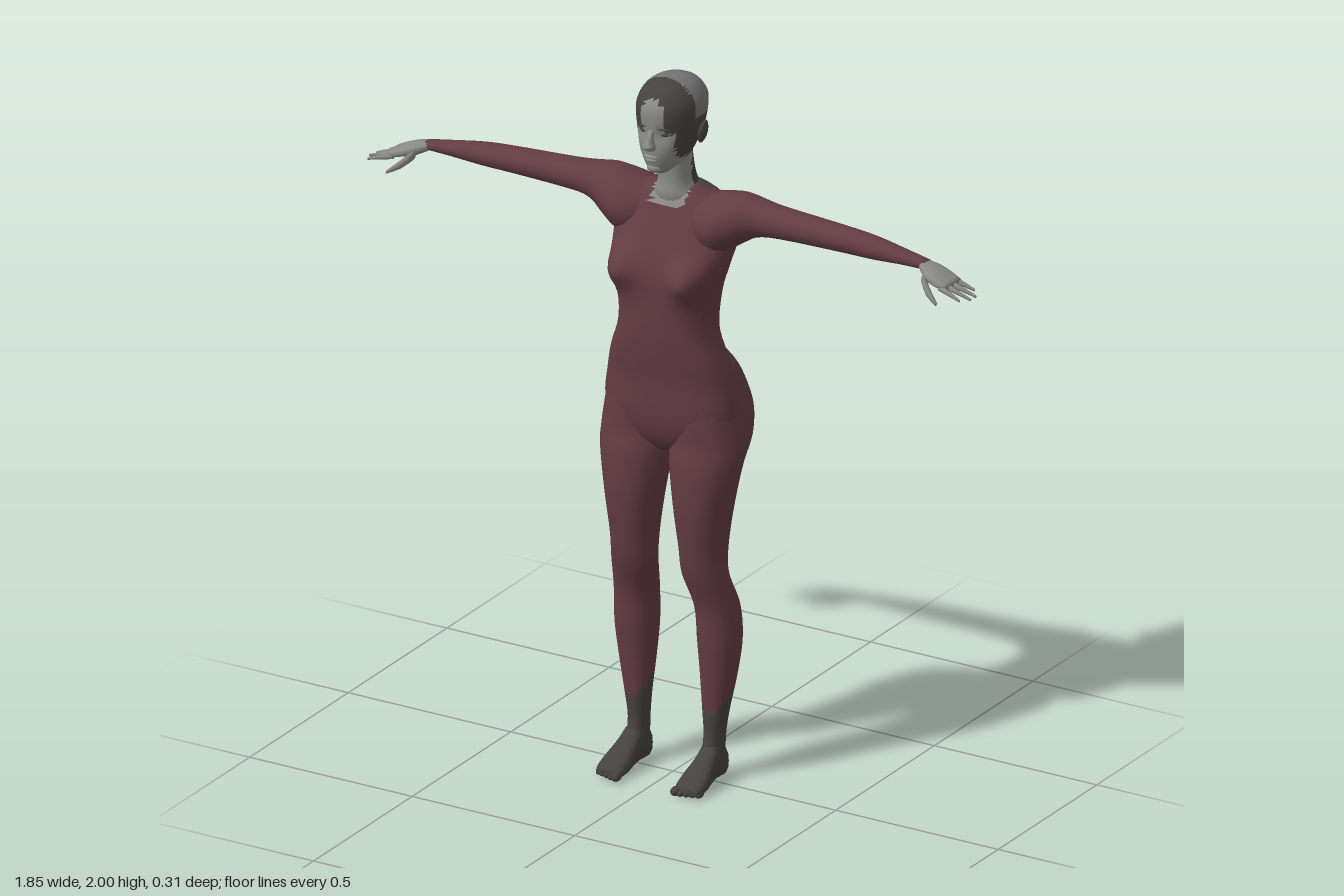
import * as THREE from 'three';

const flat = (name, color) => {
  const m = new THREE.MeshStandardMaterial({ color });
  m.name = name;
  return m;
};
const suit = flat('burgundy suit', 0x633c43);
const dark = flat('charcoal', 0x474242);
const skin = flat('pale grey', 0x8a8a88);
const crown = flat('crown grey', 0x747474);

// Smooth Catmull-Rom resampling of a table of section rows
function resample(rows, sub) {
  const out = [];
  for (let i = 0; i < rows.length - 1; i++) {
    const p = rows[Math.max(i - 1, 0)], a = rows[i], b = rows[i + 1], q = rows[Math.min(i + 2, rows.length - 1)];
    for (let k = 0; k < sub; k++) {
      const t = k / sub;
      out.push(a.map((v, j) => {
        const c1 = b[j] - p[j];
        const c2 = 2 * p[j] - 5 * v + 4 * b[j] - q[j];
        const c3 = 3 * (v - b[j]) + q[j] - p[j];
        return v + 0.5 * t * (c1 + t * (c2 + t * c3));
      }));
    }
  }
  out.push(rows[rows.length - 1]);
  return out;
}

// Closed loft of oval sections. Row: [t, a0, a1, b0, b1]; place maps (t, a, b) to a point.
// paint(centre) picks the index of the material for each face.
function loft(name, rows, place, mats, { sides = 16, sub = 3, power = 2.3, warp, paint = () => 0 } = {}) {
  const pos = [], tris = [], sections = resample(rows, sub), n = sections.length;
  const add = (t, a, b) => {
    const v = place(t, a, b);
    if (warp) warp(v);
    pos.push(v.x, v.y, v.z);
  };
  const bend = (v) => Math.sign(v) * Math.abs(v) ** (2 / power);
  for (const [t, a0, a1, b0, b1] of sections) {
    for (let i = 0; i < sides; i++) {
      const w = (i / sides) * Math.PI * 2;
      add(t, (a0 + a1) / 2 + bend(Math.cos(w)) * (a1 - a0) / 2, (b0 + b1) / 2 + bend(Math.sin(w)) * (b1 - b0) / 2);
    }
  }
  for (const s of [sections[0], sections[n - 1]]) add(s[0], (s[1] + s[2]) / 2, (s[3] + s[4]) / 2);
  for (let i = 0; i < sides; i++) {
    const j = (i + 1) % sides;
    for (let r = 0; r < n - 1; r++) {
      const a = r * sides + i, b = r * sides + j;
      tris.push([a, b, a + sides], [b, b + sides, a + sides]);
    }
    tris.push([n * sides, j, i], [n * sides + 1, (n - 1) * sides + i, (n - 1) * sides + j]);
  }
  // Turn faces outward whichever way the sections run
  const pt = (i) => new THREE.Vector3().fromArray(pos, i * 3);
  let volume = 0;
  for (const [a, b, c] of tris) volume += pt(a).dot(pt(b).cross(pt(c)));
  const buckets = mats.map(() => []);
  for (const [a, b, c] of tris) {
    const centre = pt(a).add(pt(b)).add(pt(c)).divideScalar(3);
    buckets[paint(centre)].push(...(volume > 0 ? [a, b, c] : [a, c, b]));
  }
  const g = new THREE.BufferGeometry();
  g.setAttribute('position', new THREE.Float32BufferAttribute(pos, 3));
  g.setIndex(buckets.flat());
  let start = 0;
  buckets.forEach((f, i) => { g.addGroup(start, f.length, i); start += f.length; });
  g.computeVertexNormals();
  const mesh = new THREE.Mesh(g, mats);
  mesh.name = name;
  return mesh;
}

function ball(name, mat, x, y, z, sx, sy, sz) {
  const m = new THREE.Mesh(new THREE.SphereGeometry(1, 10, 8), mat);
  m.name = name;
  m.position.set(x, y, z);
  m.scale.set(sx, sy, sz);
  return m;
}

const upright = (y, x, z) => new THREE.Vector3(x, y, z);
const gauss = (d, s) => Math.exp(-(d * d) / (2 * s * s));

function buildTorso() {
  return loft('torso', [
    [0.94, -0.07, 0.07, -0.05, 0.05], [0.98, -0.15, 0.15, -0.09, 0.08], [1.05, -0.195, 0.195, -0.11, 0.098],
    [1.15, -0.185, 0.185, -0.1, 0.1], [1.22, -0.165, 0.165, -0.077, 0.11], [1.3, -0.138, 0.138, -0.075, 0.118],
    [1.4, -0.143, 0.143, -0.085, 0.115], [1.47, -0.158, 0.158, -0.103, 0.108], [1.55, -0.175, 0.175, -0.125, 0.083],
    [1.61, -0.165, 0.165, -0.13, 0.055], [1.66, -0.11, 0.11, -0.105, 0.03], [1.685, -0.05, 0.05, -0.08, 0.01],
  ], upright, [suit, dark, skin], {
    sides: 32, sub: 4, power: 2.4,
    // bust
    warp: (v) => { if (v.z > 0) v.z += 0.055 * gauss(Math.abs(v.x) - 0.11, 0.035) * gauss(v.y - 1.46, 0.04); },
    // collar patches at nape and throat
    paint: (c) => (c.z < -0.04 && c.y > 1.58 && Math.abs(c.x) < 0.085 ? 1
      : c.z > 0 && c.y > 1.635 && Math.abs(c.x) < 0.05 ? 2 : 0),
  });
}

function buildHead() {
  const head = new THREE.Group();
  head.name = 'head';
  head.add(loft('skull', [
    [1.75, -0.025, 0.025, 0.02, 0.095], [1.775, -0.048, 0.048, -0.045, 0.108], [1.81, -0.066, 0.066, -0.072, 0.115],
    [1.85, -0.079, 0.079, -0.09, 0.114], [1.9, -0.087, 0.087, -0.103, 0.115], [1.94, -0.085, 0.085, -0.105, 0.112],
    [1.975, -0.066, 0.066, -0.08, 0.09], [1.993, -0.04, 0.04, -0.045, 0.058], [2.0, -0.015, 0.015, -0.02, 0.03],
  ], upright, [dark, skin, crown], {
    sides: 32, sub: 4, power: 2.1,
    // eye sockets
    warp: (v) => { if (v.z > 0.03) v.z -= 0.01 * gauss(Math.abs(v.x) - 0.033, 0.015) * gauss(v.y - 1.868, 0.014); },
    // face, forehead and crown patches
    paint: (c) => {
      const x = Math.abs(c.x);
      if (c.z > 0.02 && c.y < 1.87 && x < 0.056) return 1;
      if (c.z > 0.05 && (x / 0.038) ** 2 + ((c.y - 1.9) / 0.065) ** 2 < 1) return 1;
      return c.y > 1.9 && c.z < 0.03 ? 2 : 0;
    },
  }));
  head.add(loft('neck', [
    [1.6, -0.07, 0.07, -0.115, 0.02], [1.66, -0.062, 0.062, -0.095, 0.038], [1.7, -0.046, 0.046, -0.078, 0.034],
    [1.76, -0.044, 0.044, -0.06, 0.036], [1.81, -0.045, 0.045, -0.055, 0.05],
  ], upright, [skin, dark], { sides: 20, paint: (c) => (c.z < -0.025 ? 1 : 0) }));
  head.add(loft('nose', [
    [1.822, -0.01, 0.01, 0.1, 0.122], [1.834, -0.017, 0.017, 0.1, 0.144], [1.85, -0.01, 0.01, 0.1, 0.133],
    [1.88, -0.007, 0.007, 0.1, 0.118],
  ], upright, [skin], { sides: 10, sub: 2 }));
  head.add(ball('upperLip', skin, 0, 1.804, 0.113, 0.022, 0.005, 0.011));
  head.add(ball('lowerLip', skin, 0, 1.794, 0.111, 0.018, 0.006, 0.011));
  head.add(ball('chin', skin, 0, 1.767, 0.096, 0.022, 0.014, 0.015));
  for (const s of [-1, 1]) {
    const eye = ball('eye', dark, s * 0.033, 1.867, 0.096, 0.014, 0.005, 0.006);
    eye.rotation.y = s * 0.35;
    const brow = ball('brow', dark, s * 0.034, 1.884, 0.103, 0.018, 0.003, 0.005);
    brow.rotation.y = s * 0.35;
    const ear = ball('ear', dark, s * 0.087, 1.852, -0.008, 0.01, 0.034, 0.02);
    ear.rotation.z = -s * 0.2;
    head.add(eye, brow, ear);
  }
  return head;
}

function buildArm(s) {
  const arm = new THREE.Group();
  arm.name = s > 0 ? 'leftArm' : 'rightArm';
  const along = (x, y, z) => new THREE.Vector3(s * x, y, z);
  arm.add(loft('sleeve', [
    [0.05, 1.55, 1.66, -0.105, 0.025], [0.1, 1.52, 1.668, -0.125, 0.06], [0.15, 1.52, 1.682, -0.122, 0.072],
    [0.2, 1.55, 1.69, -0.105, 0.055], [0.25, 1.58, 1.683, -0.088, 0.03], [0.32, 1.59, 1.675, -0.078, 0.018],
    [0.5, 1.594, 1.664, -0.072, 0.01], [0.6, 1.596, 1.657, -0.064, 0.008], [0.7, 1.603, 1.642, -0.05, 0.004],
    [0.77, 1.605, 1.63, -0.042, 0.0],
  ], along, [suit], { power: 2.1 }));
  arm.add(loft('palm', [
    [0.755, 1.606, 1.629, -0.041, -0.001], [0.79, 1.59, 1.626, -0.048, 0.03], [0.83, 1.583, 1.612, -0.047, 0.046],
    [0.86, 1.58, 1.597, -0.042, 0.04],
  ], along, [skin], { sides: 12 }));
  // fingers: [root z, tip x, tip y, tip z]
  for (const [z, x, y, tz] of [[-0.034, 0.9, 1.565, -0.045], [-0.01, 0.922, 1.562, -0.016], [0.013, 0.925, 1.565, 0.016], [0.034, 0.91, 1.57, 0.048]]) {
    const rows = [0, 0.55, 1].map((t) => {
      const r = 0.0095 - 0.006 * t, cy = 1.589 + (y - 1.589) * t, cz = z + (tz - z) * t;
      return [0.84 + (x - 0.84) * t, cy - r, cy + r, cz - r, cz + r];
    });
    arm.add(loft('finger', rows, along, [skin], { sides: 7, sub: 1 }));
  }
  arm.add(loft('thumb', [
    [0.785, 1.585, 1.612, 0.01, 0.038], [0.81, 1.563, 1.588, 0.034, 0.056], [0.845, 1.546, 1.556, 0.055, 0.066],
  ], along, [skin], { sides: 8, sub: 2 }));
  return arm;
}

function buildLeg(s) {
  const leg = new THREE.Group();
  leg.name = s > 0 ? 'leftLeg' : 'rightLeg';
  leg.add(loft('trouserLeg', [
    [0.07, 0.09, 0.142, -0.055, 0.03], [0.13, 0.09, 0.143, -0.055, 0.016], [0.2, 0.085, 0.154, -0.06, 0.018],
    [0.3, 0.077, 0.172, -0.078, 0.025], [0.4, 0.07, 0.184, -0.09, 0.035], [0.5, 0.065, 0.182, -0.08, 0.042],
    [0.6, 0.047, 0.17, -0.043, 0.074], [0.68, 0.043, 0.168, -0.05, 0.09], [0.8, 0.028, 0.183, -0.068, 0.104],
    [0.92, 0.008, 0.204, -0.092, 0.1], [0.98, 0.0, 0.21, -0.13, 0.09], [1.05, -0.002, 0.202, -0.152, 0.088],
    [1.12, 0.005, 0.19, -0.132, 0.08], [1.18, 0.02, 0.172, -0.1, 0.07], [1.24, 0.04, 0.13, -0.06, 0.05],
  ], (y, x, z) => new THREE.Vector3(s * x, y, z), [suit, dark], {
    sides: 20, sub: 5, power: 2.2,
    // sock line rises toward the calf
    paint: (c) => (c.y < 0.22 - 1.2 * c.z ? 1 : 0),
  }));
  leg.add(loft('foot', [
    [-0.062, 0.102, 0.132, 0.015, 0.06], [-0.045, 0.092, 0.142, 0.002, 0.09], [0.0, 0.09, 0.145, 0.004, 0.115],
    [0.04, 0.085, 0.153, 0.004, 0.086], [0.09, 0.08, 0.161, 0.0, 0.055], [0.125, 0.082, 0.16, 0.002, 0.036],
    [0.138, 0.088, 0.152, 0.006, 0.026],
  ], (z, x, y) => new THREE.Vector3(s * x, y, z), [dark], { sides: 14, power: 2.6 }));
  for (let i = 0; i < 5; i++) {
    const r = i ? 0.009 : 0.013;
    leg.add(ball('toe', dark, s * (0.091 + i * 0.0155), r + 0.002, 0.138 - i * 0.005, r, r, 0.018));
  }
  return leg;
}

export function createModel() {
  const figure = new THREE.Group();
  figure.name = 'figure';
  figure.add(buildTorso(), buildHead());
  for (const s of [-1, 1]) figure.add(buildArm(s), buildLeg(s));
  return figure;
}
